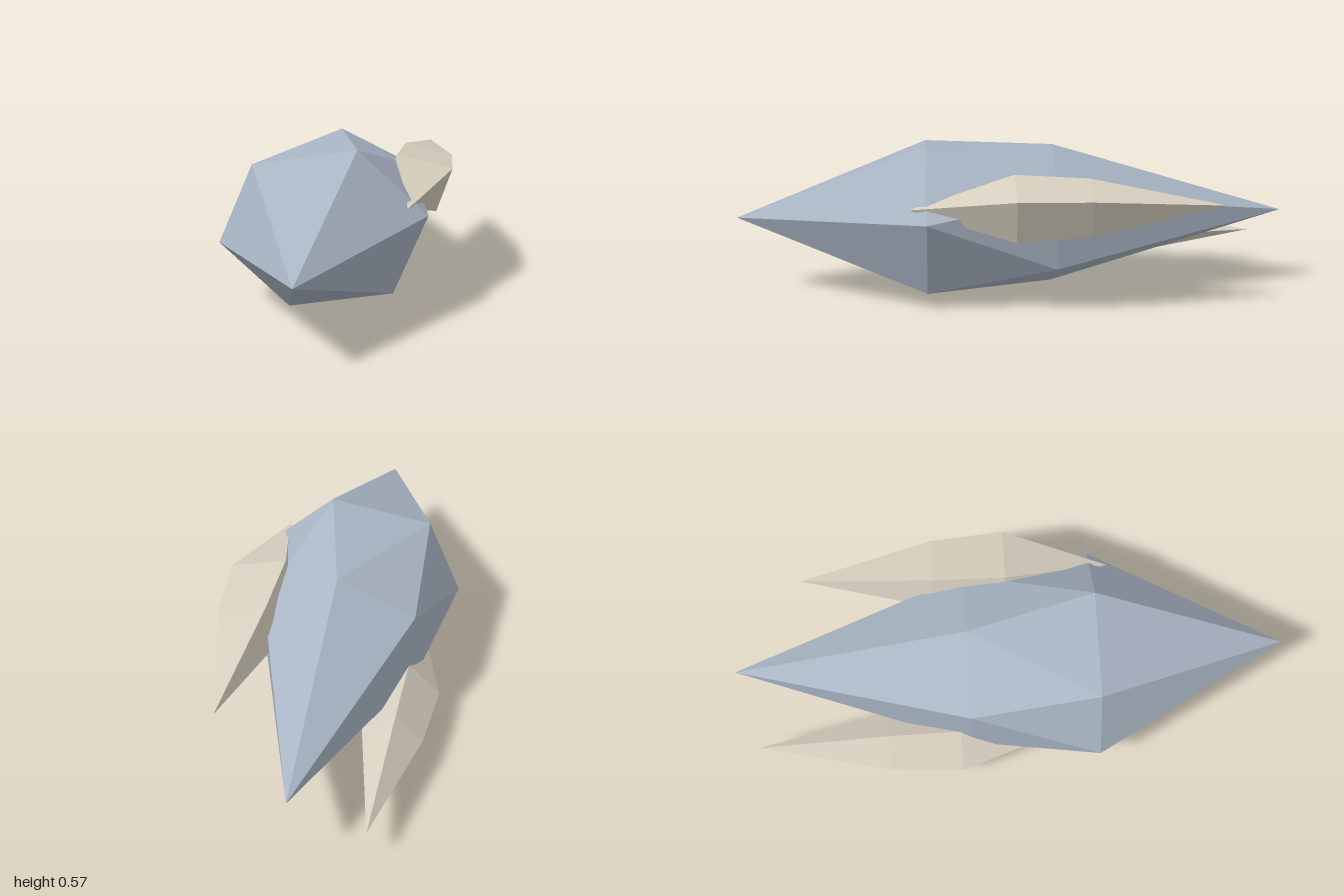
import * as THREE from 'three';

// Faceted crystal: front tip, rings (front to back, counter-clockwise seen from the front), back tip
function crystal(name, color, front, rings, back) {
  const pos = [];
  const tri = (...pts) => pts.forEach((p) => pos.push(...p));
  const n = rings[0].length;
  const last = rings[rings.length - 1];
  for (let i = 0; i < n; i++) {
    const j = (i + 1) % n;
    tri(front, rings[0][i], rings[0][j]);
    for (let r = 0; r < rings.length - 1; r++) {
      const a = rings[r], b = rings[r + 1];
      tri(a[i], b[i], a[j]);
      tri(a[j], b[i], b[j]);
    }
    tri(back, last[j], last[i]);
  }
  const geo = new THREE.BufferGeometry();
  geo.setAttribute('position', new THREE.Float32BufferAttribute(pos, 3));
  geo.computeVertexNormals();
  const mesh = new THREE.Mesh(geo, new THREE.MeshStandardMaterial({ color, flatShading: true }));
  mesh.name = name;
  return mesh;
}

// Ring from half its corners; the others are mirrored through the centre
function ring(cx, cy, z, half, scale = 1) {
  const corner = (s) => ([x, y]) => [cx + s * scale * x, cy + s * scale * y, z];
  return [...half.map(corner(1)), ...half.map(corner(-1))];
}

// Four-sided shard: widest ring, a slightly narrower one behind it, and two tips
function shard(name, cx, cy, z, half) {
  return crystal(name, 0xd6cfbf, [cx, cy, z + 0.375],
    [ring(cx, cy, z, half), ring(cx, cy, z - 0.265, half, 0.86)], [cx, cy, z - 0.745]);
}

export function createModel() {
  const group = new THREE.Group();
  group.name = 'crystalCluster';

  // Six-sided main body; the rear ring is twisted half a step
  const cx = -0.03, cy = 0.286;
  group.add(crystal('mainCrystal', 0xa9b5c4, [cx, cy, 1], [
    ring(cx, cy, 0.31, [[0.12, 0.284], [-0.247, 0.224], [-0.367, -0.06]]),
    ring(cx, cy, -0.15, [[0.01, 0.262], [-0.27, 0.135], [-0.277, -0.132]]),
  ], [cx, cy, -1]));

  // Side shards partly sunk into the body
  group.add(shard('leftShard', 0.272, 0.386, 0, [[0.129, 0.056], [-0.072, 0.104]]));
  group.add(shard('rightShard', -0.278, 0.138, -0.19, [[-0.125, -0.012], [0.011, -0.101]]));
  return group;
}
